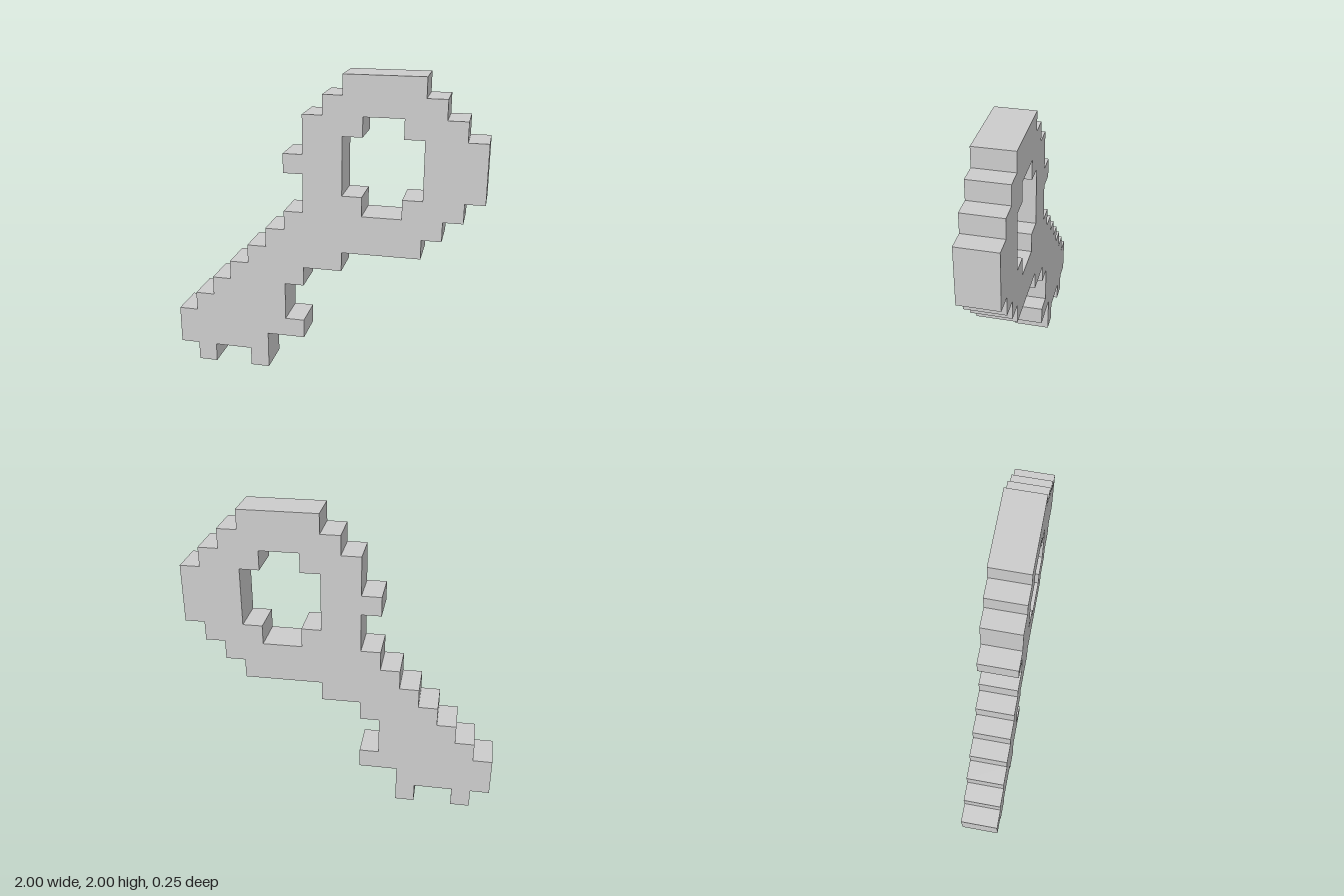
import * as THREE from 'three';

const CELL = 1 / 8; // size of one block

// Stair-stepped closed outline: alternating horizontal and vertical runs, in blocks
function steppedPath(PathType, x, y, runs) {
  const points = [new THREE.Vector2(x, y).multiplyScalar(CELL)];
  runs.slice(0, -1).forEach((run, i) => {
    if (i % 2 === 0) x += run;
    else y += run;
    points.push(new THREE.Vector2(x, y).multiplyScalar(CELL));
  });
  return new PathType(points);
}

export function createModel() {
  const group = new THREE.Group();
  group.name = 'blockKey';

  // Silhouette, counterclockwise from the lower left of the blade
  const outline = steppedPath(THREE.Shape, -8, 1, [
    1, -1, 1, 1, 2, -1, 1, 2, 2, 1, -1, 2, // teeth along the blade
    1, 1, 2, 1, 4, 1, 1, 1, 1, 1, 1, 3, // underside and right of the ring
    -1, 1, -1, 1, -1, 1, -4, -1, -1, -1, -1, -2, // top of the ring
    -1, -1, 1, -2, // small knob on the left
    -1, -1, -1, -1, -1, -1, -1, -1, -1, -1, -1, -1, -1, -2, // stepped back of the shaft
  ]);

  // Opening in the ring
  outline.holes.push(steppedPath(THREE.Path, 1, 10, [1, -1, 2, 1, 1, 3, -1, 1, -2, -1, -1, -3]));

  const geometry = new THREE.ExtrudeGeometry(outline, { depth: 2 * CELL, bevelEnabled: false });
  geometry.translate(0, 0, -CELL);

  const body = new THREE.Mesh(
    geometry,
    new THREE.MeshStandardMaterial({ color: 0xcccccc, flatShading: true })
  );
  body.name = 'keyBody';
  group.add(body);
  return group;
}
